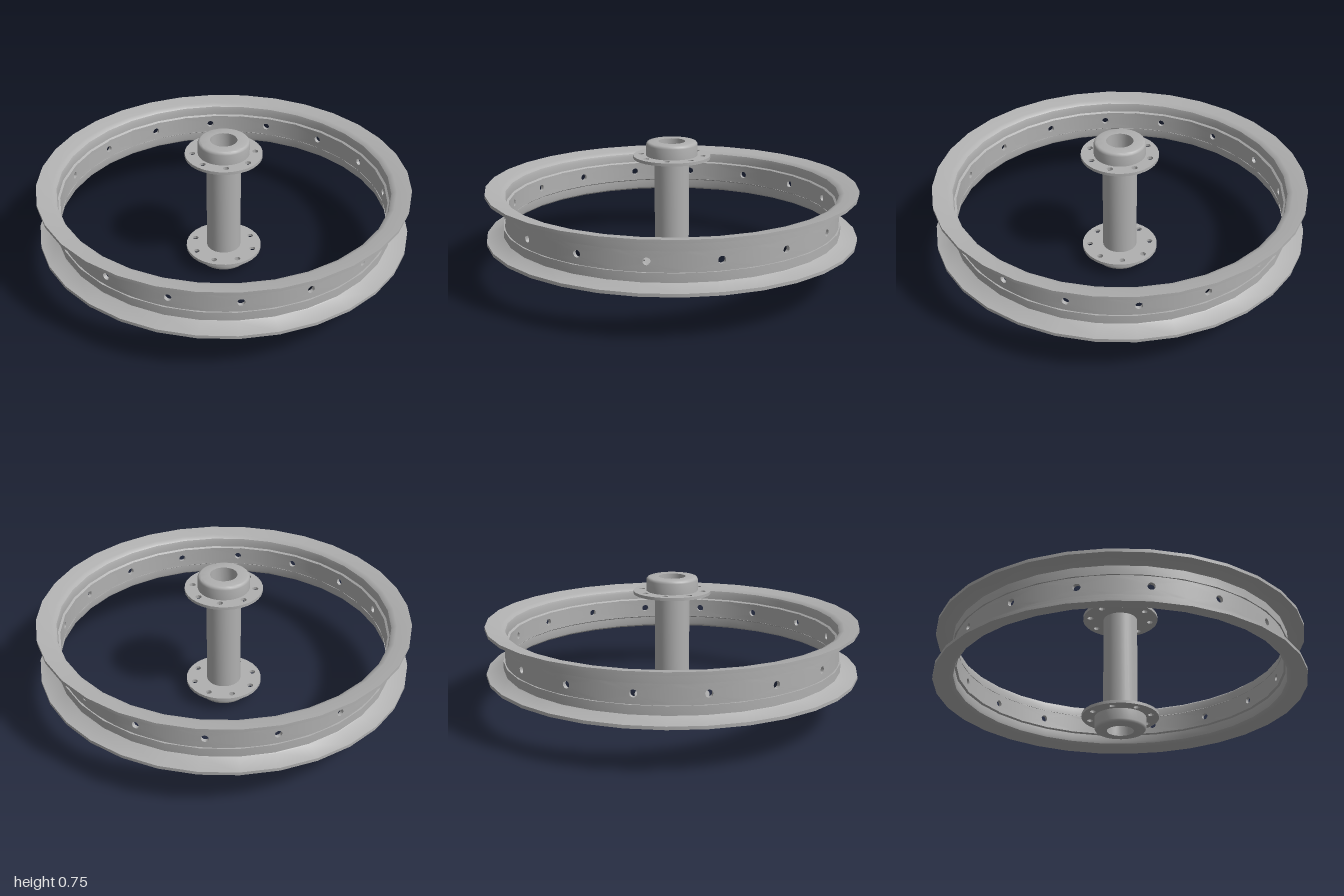
import * as THREE from 'three';
import { toCreasedNormals } from 'three/addons/utils/BufferGeometryUtils.js';

const MID = 0.375; // height of the wheel's middle plane
const SIDES = 32;

// Closed (radius, y) outline, counter-clockwise, turned around the axle
function turned(points) {
  const pts = [...points, points[0]].map(([r, y]) => new THREE.Vector2(r, y));
  return toCreasedNormals(new THREE.LatheGeometry(pts, SIDES), 0.6);
}

// Curved central band of the rim, pierced by spoke holes
function spokeBandGeometry() {
  const holes = 16, n = 24, rOut = 0.899, rIn = 0.879, halfH = 0.054, hole = 0.019;
  const halfW = Math.PI / holes;
  const steps = [0, 0.33, 0.67, 1];
  const rings = [...steps.map(t => [rIn, 1 - t]), ...steps.map(t => [rOut, t])];
  const clamp = v => THREE.MathUtils.clamp(v * Math.SQRT2, -1, 1);
  const pos = [], index = [];
  for (let k = 0; k < holes; k++) {
    const centre = 0.022 + k * 2 * halfW, base = pos.length / 3;
    for (const [r, t] of rings) {
      for (let i = 0; i < n; i++) {
        const a = (i / n) * Math.PI * 2, c = Math.cos(a), s = Math.sin(a);
        // blend from the round hole to the panel's rectangular border
        const u = THREE.MathUtils.lerp(c * hole / 0.89, clamp(c) * halfW, t);
        const v = THREE.MathUtils.lerp(s * hole, clamp(s) * halfH, t);
        pos.push(r * Math.sin(centre + u), v, r * Math.cos(centre + u));
      }
    }
    for (let j = 0; j < rings.length - 1; j++) {
      for (let i = 0; i < n; i++) {
        const a = base + j * n + i, b = base + j * n + (i + 1) % n;
        index.push(a, a + n, b + n, a, b + n, b);
      }
    }
  }
  const g = new THREE.BufferGeometry();
  g.setAttribute('position', new THREE.Float32BufferAttribute(pos, 3));
  g.setIndex(index);
  return toCreasedNormals(g, 0.6);
}

// Thin hub disc with eight spoke holes
function hubDiscGeometry() {
  const shape = new THREE.Shape();
  shape.absarc(0, 0, 0.207, 0, Math.PI * 2);
  const cut = (x, y, r) => {
    const p = new THREE.Path();
    p.absarc(x, y, r, 0, Math.PI * 2, true);
    shape.holes.push(p);
  };
  cut(0, 0, 0.085);
  for (let k = 0; k < 8; k++) {
    const a = k * Math.PI / 4;
    cut(Math.cos(a) * 0.167, Math.sin(a) * 0.167, 0.016);
  }
  const g = new THREE.ExtrudeGeometry(shape, { depth: 0.016, bevelEnabled: false, curveSegments: 16 });
  g.rotateX(-Math.PI / 2).translate(0, 0.284, 0);
  return toCreasedNormals(g, 0.6);
}

export function createModel() {
  const metal = new THREE.MeshStandardMaterial({ color: 0xb0b0b0 });
  metal.name = 'grey metal';
  const model = new THREE.Group();
  model.name = 'wheelRimAndHub';
  const add = (parent, name, geometry) => {
    const mesh = new THREE.Mesh(geometry, metal);
    mesh.name = name;
    parent.add(mesh);
    return mesh;
  };

  add(model, 'spokeBand', spokeBandGeometry()).position.y = MID;

  // Hub barrel, hollow along the axle
  add(model, 'hubBarrel', turned([
    [0.072, -0.36], [0.093, -0.36], [0.093, 0.36], [0.072, 0.36],
  ])).position.y = MID;

  // Dished rim flange with a rounded inner lip
  const rimFlange = turned([
    [0.879, 0.053], [0.909, 0.053], [0.909, 0.1], [0.914, 0.104], [1, 0.12], [1, 0.137],
    [0.922, 0.124], [0.905, 0.119], [0.894, 0.11], [0.89, 0.096], [0.89, 0.06],
  ]);
  // Bearing collar with a rounded outer edge
  const collar = turned([
    [0.072, 0.29], [0.138, 0.29], [0.138, 0.358], [0.136, 0.366], [0.131, 0.372],
    [0.123, 0.375], [0.072, 0.375],
  ]);
  const disc = hubDiscGeometry();

  // Upper and lower halves, the lower one turned over
  for (const side of ['upper', 'lower']) {
    const half = new THREE.Group();
    half.name = side + 'Half';
    half.position.y = MID;
    if (side === 'lower') half.rotation.x = Math.PI;
    add(half, side + 'RimFlange', rimFlange);
    add(half, side + 'HubCollar', collar);
    // spoke holes of the two discs are staggered
    add(half, side + 'HubDisc', disc).rotation.y = side === 'upper' ? Math.PI / 8 : 0;
    model.add(half);
  }
  return model;
}
